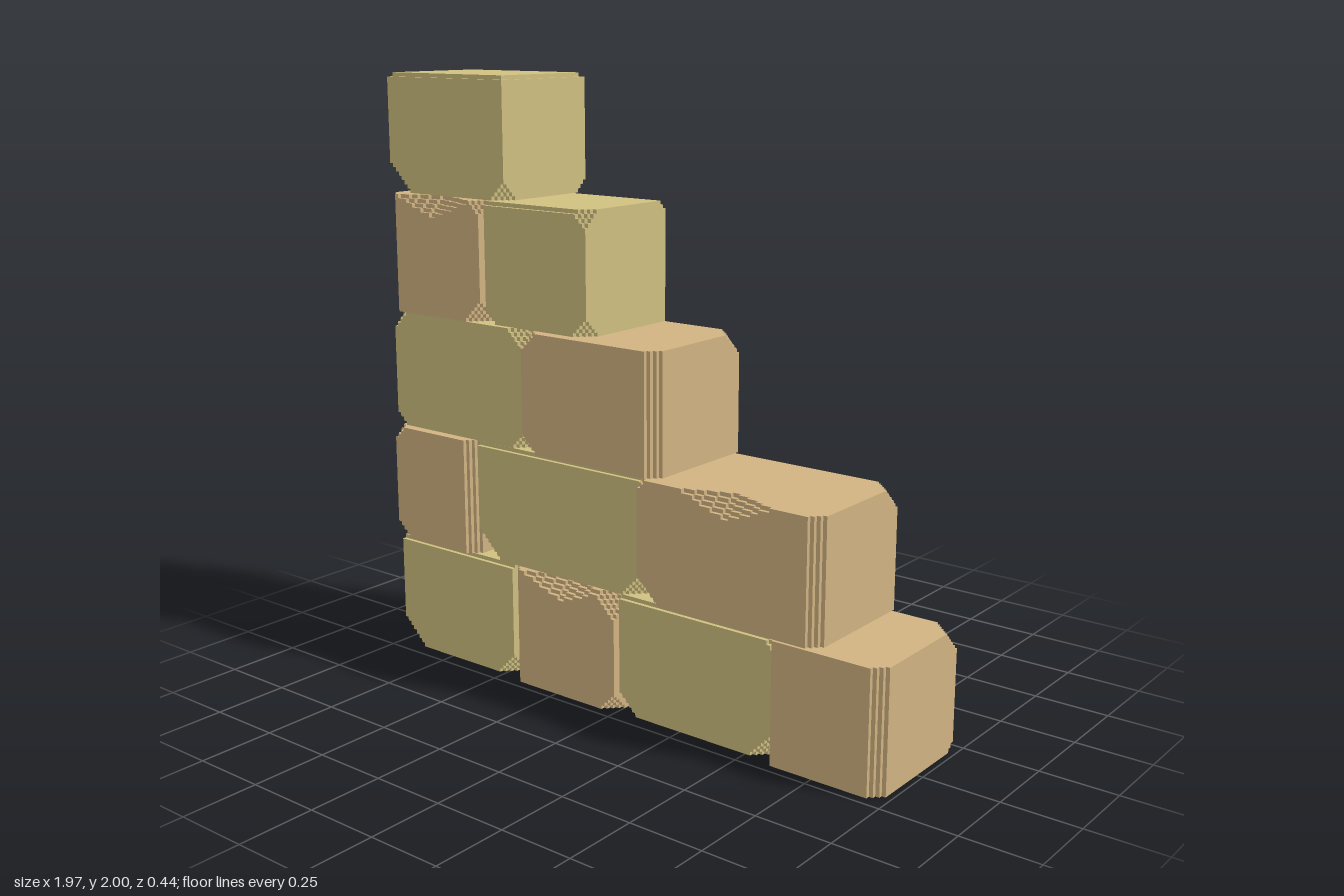
import * as THREE from 'three';

const YELLOW = new THREE.MeshStandardMaterial({ color: 0xd0c080, flatShading: true });
const TAN = new THREE.MeshStandardMaterial({ color: 0xd2b482, flatShading: true });
const STEP = 0.0133; // size of one chipped step

// A chip is [sx, sy, sz, size, spread]: signs pick a corner, a zero sign runs the
// chip along that edge, and a spread makes it fade out from the edge's middle.
function chipped(p, n, chips) {
  return chips.some(([sx, sy, sz, size, spread = 0]) => {
    let d = 0;
    [sx, sy, sz].forEach((s, a) => {
      if (s > 0) d += n[a] - 1 - p[a];
      else if (s < 0) d += p[a];
      else d += Math.abs(p[a] - (n[a] - 1) / 2) * spread;
    });
    return d < size;
  });
}

// Stone block with stepped chips; neighbouring step faces are merged into rectangles
function stoneGeometry(min, max, chips) {
  const n = min.map((m, a) => Math.round((max[a] - m) / STEP));
  const solid = (p) => p.every((v, a) => v >= 0 && v < n[a]) && !chipped(p, n, chips);
  const pos = [];
  for (let a = 0; a < 3; a++) {
    const u = (a + 1) % 3, v = (a + 2) % 3;
    for (const dir of [-1, 1]) {
      for (let k = 0; k < n[a]; k++) {
        const open = [];
        for (let j = 0; j < n[v]; j++) {
          for (let i = 0; i < n[u]; i++) {
            const p = [0, 0, 0];
            p[a] = k; p[u] = i; p[v] = j;
            const q = p.slice();
            q[a] += dir;
            open.push(solid(p) && !solid(q));
          }
        }
        const at = (i, j) => open[j * n[u] + i];
        const corner = (i, j) => {
          const c = [0, 0, 0];
          c[a] = k + (dir > 0 ? 1 : 0); c[u] = i; c[v] = j;
          return c.map((t, b) => min[b] + (t / n[b]) * (max[b] - min[b]));
        };
        for (let j = 0; j < n[v]; j++) {
          for (let i = 0; i < n[u]; i++) {
            if (!at(i, j)) continue;
            let i2 = i, j2 = j + 1;
            while (i2 < n[u] && at(i2, j)) i2++;
            const rowOpen = (r) => {
              for (let t = i; t < i2; t++) if (!at(t, r)) return false;
              return true;
            };
            while (j2 < n[v] && rowOpen(j2)) j2++;
            for (let r = j; r < j2; r++) for (let t = i; t < i2; t++) open[r * n[u] + t] = false;
            const A = corner(i, j), B = corner(i2, j), C = corner(i2, j2), D = corner(i, j2);
            pos.push(...(dir > 0 ? [A, B, C, A, C, D] : [A, C, B, A, D, C]).flat());
          }
        }
      }
    }
  }
  const g = new THREE.BufferGeometry();
  g.setAttribute('position', new THREE.Float32BufferAttribute(pos, 3));
  g.computeVertexNormals();
  return g;
}

// Joints of each course from the ground up
const JOINTS = [
  [-0.985, -0.453, 0.003, 0.601, 0.98],
  [-0.98, -0.608, 0.092, 0.76],
  [-0.985, -0.383, 0.165],
  [-0.98, -0.553, -0.12],
  [-0.98, -0.46],
];

// Front corner chips of each stone: lower left, lower right, upper left, upper right
const CORNERS = [
  [[7, 5, 0, 0], [0, 4, 0, 6], [5, 6, 0, 3], [0, 0, 0, 0]],
  [[4, 0, 3, 0], [7, 5, 0, 0], [6, 0, 2, 0]],
  [[3, 4, 4, 5], [4, 0, 4, 0]],
  [[0, 5, 0, 3], [3, 4, 0, 4]],
  [[7, 4, 0, 0]],
];

// Tan stones have one front upright edge worn; some are also gouged along the top
const WORN_LEFT = ['0-1', '3-0'];
const GOUGED = ['0-1', '1-2', '3-0'];

function chipsFor(row, i, tan) {
  const key = `${row}-${i}`;
  const chips = CORNERS[row][i].map((size, c) => [c % 2 ? 1 : -1, c < 2 ? -1 : 1, 1, size]);
  if (row === 0) chips.push([0, -1, -1, 2]); // worn foot at the back
  if (tan) {
    chips.push([WORN_LEFT.includes(key) ? -1 : 1, 0, 1, 3]);
    chips.push([i ? 1 : -1, 1, -1, 5]); // back corner towards the stone's open end
  } else {
    chips.push([0, 1, -1, row === 4 ? 1 : 2]);
    if (row !== 2) chips.push([0, 1, 1, 1]);
  }
  if (GOUGED.includes(key)) chips.push([0, 1, 1, 4.5, 0.38]);
  if (row === 4) chips.push([1, 1, 0, 1], [-1, 1, 0, 1], [1, -1, -1, 3]);
  return chips;
}

export function createModel() {
  const wall = new THREE.Group();
  wall.name = 'steppedStoneWall';
  JOINTS.forEach((joints, row) => {
    const course = new THREE.Group();
    course.name = `course${row + 1}`;
    const y0 = row * 0.402, y1 = Math.min(y0 + 0.397, 2);
    for (let i = 0; i < joints.length - 1; i++) {
      const tan = (row + i) % 2 === 1;
      const z = tan ? 0.218 : 0.198; // tan stones stand proud
      const x0 = joints[i] + (i ? 0.003 : 0);
      const x1 = joints[i + 1] - (i < joints.length - 2 ? 0.003 : 0);
      const geometry = stoneGeometry([x0, y0, -z], [x1, y1, z], chipsFor(row, i, tan));
      const stone = new THREE.Mesh(geometry, tan ? TAN : YELLOW);
      stone.name = tan ? 'tanStone' : 'yellowStone';
      course.add(stone);
    }
    wall.add(course);
  });
  return wall;
}
